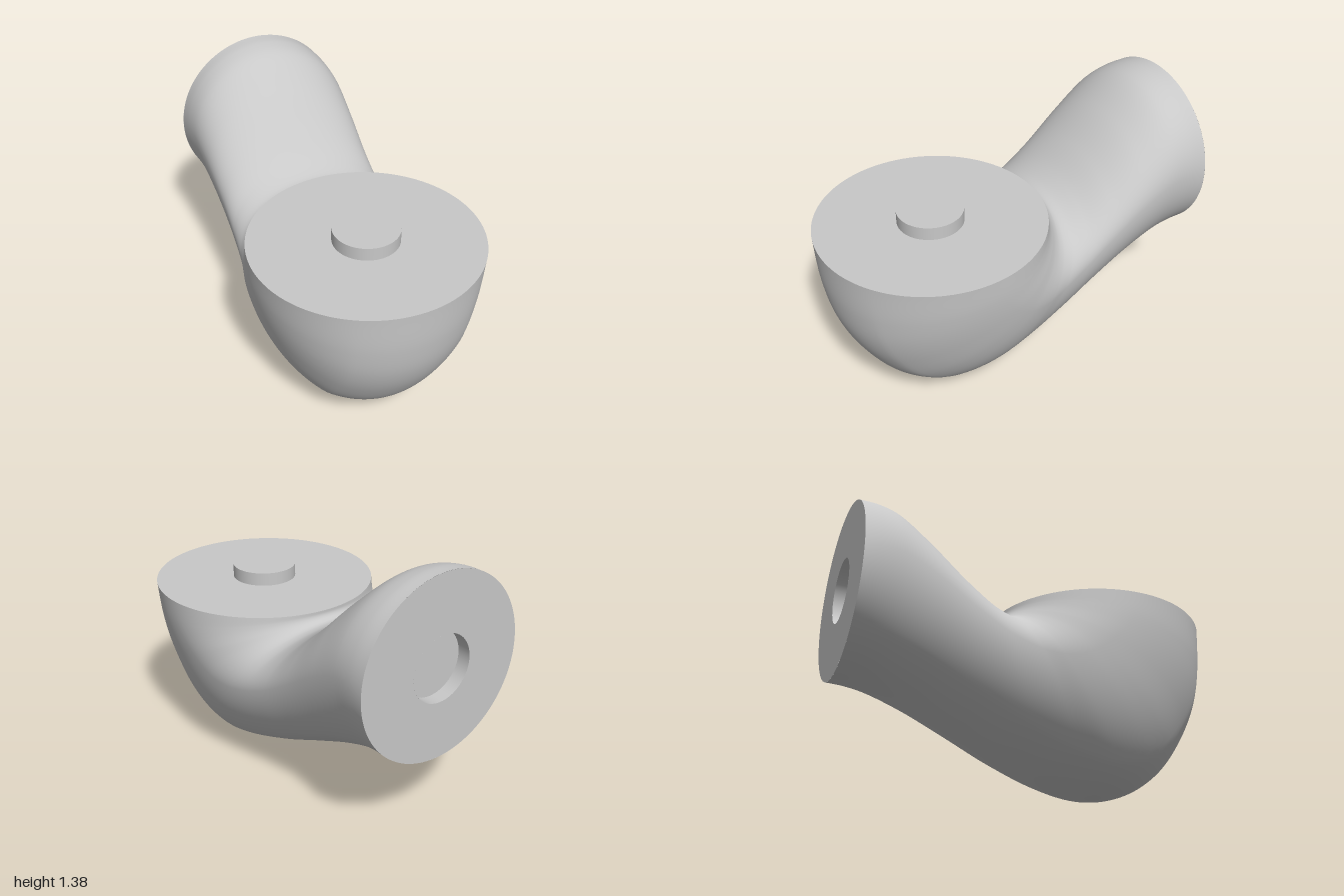
import * as THREE from 'three';

// Stations of the bent body: outer z, outer y, inner z, inner y, half width
const STATIONS = [
  [1, 0.912, -0.18, 0.912, 0.59],
  [0.985, 0.68, -0.18, 0.895, 0.583],
  [0.95, 0.5, -0.183, 0.885, 0.573],
  [0.88, 0.335, -0.19, 0.875, 0.56],
  [0.755, 0.155, -0.2, 0.868, 0.541],
  [0.6, 0.045, -0.21, 0.863, 0.522],
  [0.42, 0, -0.228, 0.861, 0.5],
  [0.2, 0.03, -0.268, 0.87, 0.474],
  [-0.08, 0.125, -0.35, 0.92, 0.453],
  [-0.35, 0.245, -0.48, 1.04, 0.445],
  [-0.6, 0.353, -0.65, 1.21, 0.45],
  [-0.8, 0.42, -0.81, 1.34, 0.458],
  [-0.91, 0.44, -0.91, 1.373, 0.463],
  [-1, 0.445, -1, 1.38, 0.466],
];
const RINGS = 130, SIDES = 144;
const CREASE_X = 0.31;

// Position across a ring, 0 at the inner rail and 1 at the outer rail.
// Mid-way rings are egg-shaped, with a flatter keel strip ending in a crease.
function across(angle, width, t) {
  const bend = Math.sin(Math.PI * t);
  const wide = 0.5 + 0.125 * bend, c = Math.cos(angle);
  if (c <= 0) return (1 - wide) * (1 + c);
  const a = Math.abs(angle), crease = Math.asin(CREASE_X / width);
  const lift = a < crease ? a / crease : (Math.PI / 2 - a) / (Math.PI / 2 - crease);
  return 1 - wide + wide * c + 0.022 * bend * lift ** 2;
}

// Rings fanning from the level rim to the upright back face
function bodyGeometry() {
  const outer = new THREE.CatmullRomCurve3(STATIONS.map(s => new THREE.Vector3(s[4], s[1], s[0])));
  const inner = new THREE.CatmullRomCurve3(STATIONS.map(s => new THREE.Vector3(0, s[3], s[2])));
  const positions = [], indices = [];
  for (let i = 0; i <= RINGS; i++) {
    const t = i / RINGS, p = outer.getPoint(t), q = inner.getPoint(t);
    for (let j = 0; j < SIDES; j++) {
      const angle = (j / SIDES) * 2 * Math.PI - Math.PI;
      const k = across(angle, p.x, t);
      positions.push(p.x * Math.sin(angle), q.y + (p.y - q.y) * k, q.z + (p.z - q.z) * k);
      if (i < RINGS) {
        const a = i * SIDES + j, c = i * SIDES + (j + 1) % SIDES;
        indices.push(a, a + SIDES, c, c, a + SIDES, c + SIDES);
      }
    }
  }
  const geometry = new THREE.BufferGeometry();
  geometry.setAttribute('position', new THREE.Float32BufferAttribute(positions, 3));
  geometry.setIndex(indices);
  geometry.computeVertexNormals();
  return geometry;
}

export function createModel() {
  const group = new THREE.Group();
  const grey = new THREE.MeshStandardMaterial({ color: 0xc8c8c8, side: THREE.DoubleSide });
  grey.name = 'plain grey';
  const add = (name, geometry, x, y, z) => {
    const mesh = new THREE.Mesh(geometry, grey);
    mesh.name = name;
    mesh.position.set(x, y, z);
    group.add(mesh);
  };

  add('elbowBody', bodyGeometry(), 0, 0, 0);

  // Level top face with its round peg
  add('topFace', new THREE.CircleGeometry(0.59, SIDES).rotateX(-Math.PI / 2), 0, 0.912, 0.41);
  add('peg', new THREE.CylinderGeometry(0.17, 0.17, 0.07, 64), 0, 0.947, 0.41);

  // Upright back face with the matching socket
  const socketDepth = 0.07, backY = 0.9125;
  add('backFace', new THREE.RingGeometry(0.17, 0.467, SIDES).rotateY(Math.PI), 0, backY, -1);
  add('socketWall', new THREE.CylinderGeometry(0.17, 0.17, socketDepth, 64, 1, true).rotateX(Math.PI / 2),
    0, backY, -1 + socketDepth / 2);
  add('socketFloor', new THREE.CircleGeometry(0.17, 64).rotateY(Math.PI), 0, backY, -1 + socketDepth);

  return group;
}
